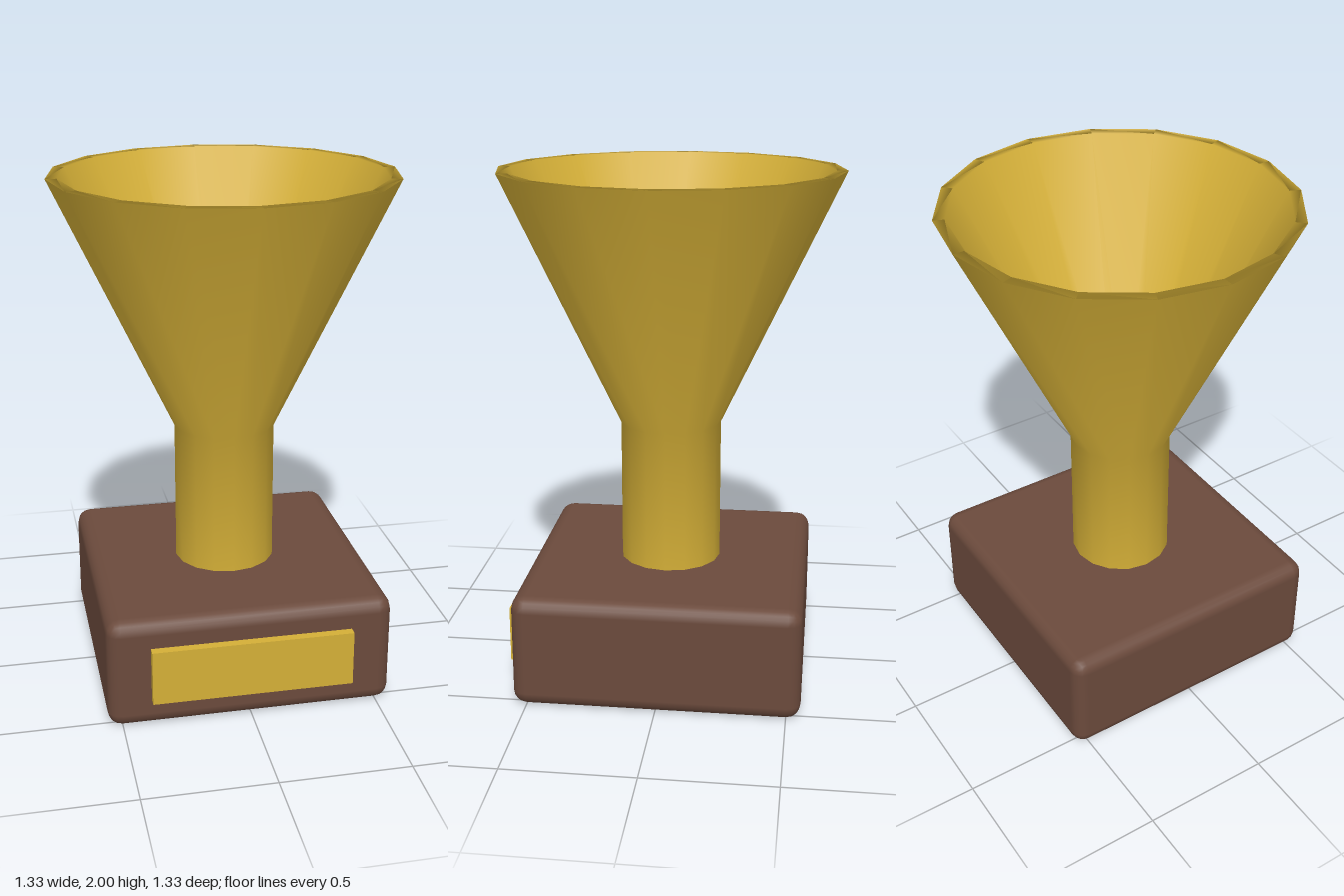
import * as THREE from 'three';
import { RoundedBoxGeometry } from 'three/addons/geometries/RoundedBoxGeometry.js';

export function createModel() {
  const trophy = new THREE.Group();
  trophy.name = 'trophy';

  const gold = new THREE.MeshStandardMaterial({ color: 0xd4af37 });
  gold.name = 'gold';
  const wood = new THREE.MeshStandardMaterial({ color: 0x6b4a3c });
  wood.name = 'dark wood';

  const add = (name, geometry, material, y, z = 0) => {
    const mesh = new THREE.Mesh(geometry, material);
    mesh.name = name;
    mesh.position.set(0, y, z);
    trophy.add(mesh);
  };

  // Block base with softened edges
  add('base', new RoundedBoxGeometry(1.11, 0.444, 1.11, 2, 0.055), wood, 0.222);

  // Blank plate on the front of the base
  add('plaque', new THREE.BoxGeometry(0.78, 0.22, 0.07), gold, 0.225, 0.555);

  // Stem, flared outside, rim, and hollow inside in one smooth 16-sided profile
  const profile = [
    [0.2, 0.42], [0.2, 1.01], [0.666, 2], [0.622, 2], [0.13, 1], [0, 1],
  ].map(([r, y]) => new THREE.Vector2(r, y));
  add('cup', new THREE.LatheGeometry(profile, 16), gold, 0);

  return trophy;
}
